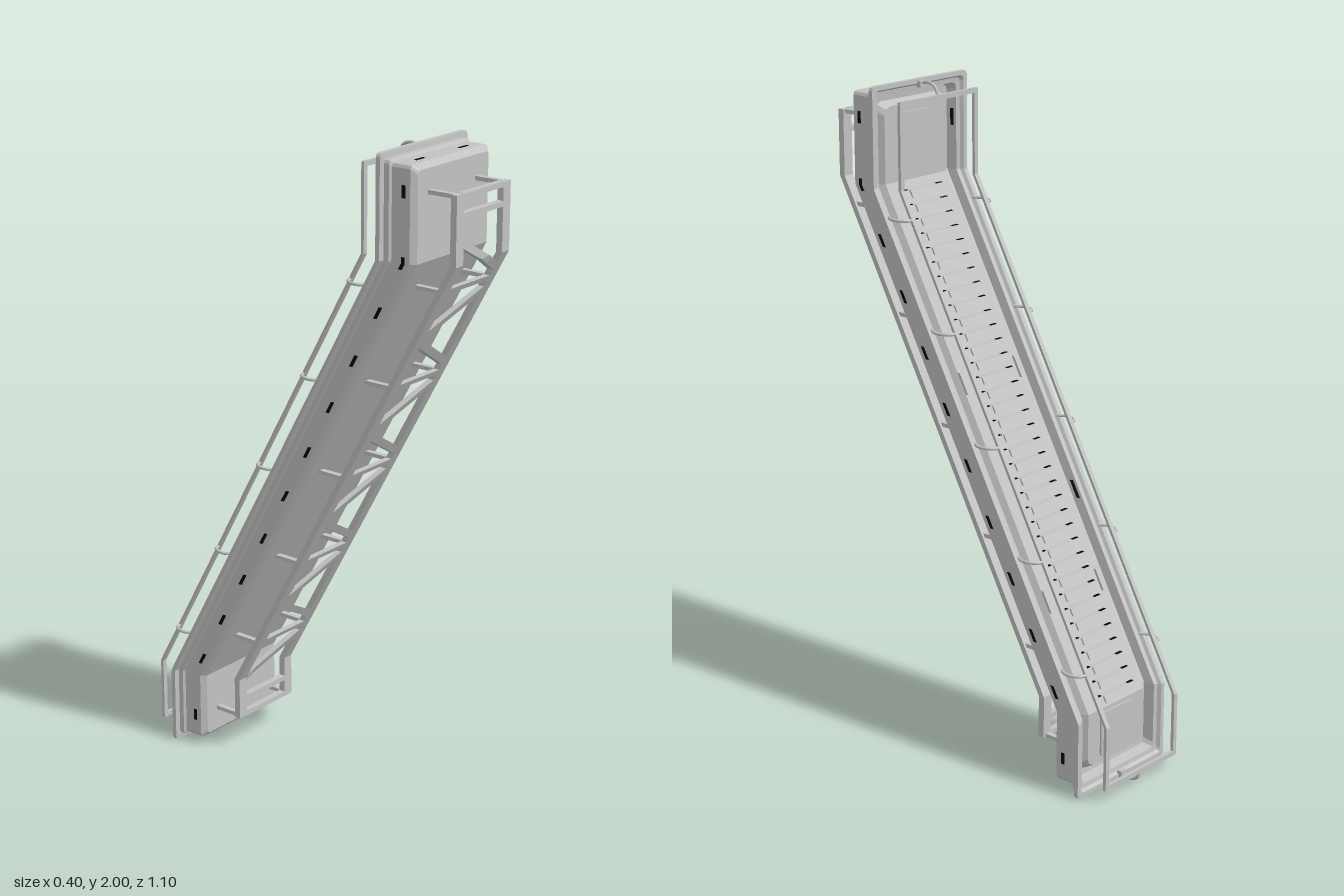
import * as THREE from 'three';

const BENDS = [0.24, 1.7];
// z of the bent spine at height y: upright, sloping, upright
const spine = (y) => THREE.MathUtils.clamp(((y - 0.97) / 0.73) * 0.4, -0.4, 0.4);

export function createModel() {
  const model = new THREE.Group();
  const grey = new THREE.MeshStandardMaterial({ color: 0xc2c2c2 });
  grey.name = 'grey metal';
  const black = new THREE.MeshStandardMaterial({ color: 0x080808 });
  black.name = 'black';

  const group = (name) => {
    const g = new THREE.Group();
    g.name = name;
    model.add(g);
    return g;
  };
  const addMesh = (parent, name, geometry, material = grey) => {
    const m = new THREE.Mesh(geometry, material);
    m.name = name;
    parent.add(m);
    return m;
  };

  // Box given by ranges in x, y and depth d, bent along the spine; tilt skews y by x
  const slab = (parent, name, [x0, x1], [y0, y1], [d0, d1], material = grey, tilt = 0) => {
    const cuts = [y0, ...BENDS.filter((b) => b > y0 && b < y1), y1];
    const n = cuts.length - 1;
    let geo = new THREE.BoxGeometry(x1 - x0, 1, d1 - d0, tilt ? 6 : 1, n, 1);
    const p = geo.attributes.position;
    for (let i = 0; i < p.count; i++) {
      const x = p.getX(i) + (x0 + x1) / 2;
      const y = cuts[Math.round((p.getY(i) + 0.5) * n)] + tilt * x;
      p.setXYZ(i, x, y, p.getZ(i) + (d0 + d1) / 2 + spine(y));
    }
    geo = geo.toNonIndexed();
    geo.computeVertexNormals();
    return addMesh(parent, name, geo, material);
  };

  // Smooth round tube through points given as x, y, depth
  const tube = (parent, name, points, radius) => {
    const pts = points.map(([x, y, d]) => new THREE.Vector3(x, y, d + spine(y)));
    addMesh(parent, name, new THREE.TubeGeometry(new THREE.CatmullRomCurve3(pts), 14, radius, 8));
  };

  // Trough shell: rings of half width, bottom, top, depth, corner radius
  const rings = [
    [0.162, 0.04, 1.96, 0.047, 0.012],
    [0.177, 0.026, 1.976, 0.032, 0.012],
    [0.177, 0.026, 1.976, -0.03, 0.012],
    [0.184, 0.018, 1.983, -0.035, 0.012],
    [0.184, 0.018, 1.983, -0.052, 0.012],
    [0.2, 0, 2, -0.054, 0.012],
    [0.2, 0, 2, -0.068, 0.012],
    [0.186, 0.014, 1.986, -0.068, 0.012],
    [0.18, 0.02, 1.98, -0.057, 0.012],
    [0.166, 0.034, 1.966, -0.055, 0.015],
    [0.16, 0.04, 1.96, -0.022, 0.02],
    [0.142, 0.058, 1.942, -0.02, 0.025],
    [0.129, 0.071, 1.929, -0.046, 0.025],
  ];
  const loops = rings.map(([w, lo, hi, d, r]) => {
    const right = [
      [w - r, lo], [w - r * 0.3, lo + r * 0.3], [w, lo + r],
      [w, BENDS[0]], [w, BENDS[1]],
      [w, hi - r], [w - r * 0.3, hi - r * 0.3], [w - r, hi],
    ];
    const left = right.map(([x, y]) => [-x, y]).reverse();
    return [...right, ...left].map(([x, y]) => [x, y, d + spine(y)]);
  });
  const verts = [];
  const quad = (a, b, c, d) => verts.push(...a, ...b, ...c, ...a, ...c, ...d);
  for (let k = 1; k < loops.length; k++) {
    const A = loops[k - 1], B = loops[k], n = A.length;
    for (let i = 0; i < n; i++) {
      const j = (i + 1) % n;
      quad(A[i], B[i], B[j], A[j]);
    }
  }
  const front = loops[0], floor = loops[loops.length - 1], last = front.length - 1;
  for (let i = 0; i < 7; i++) {
    quad(front[i], front[i + 1], front[last - i - 1], front[last - i]);
    quad(floor[last - i], floor[last - i - 1], floor[i + 1], floor[i]);
  }
  const shell = new THREE.BufferGeometry();
  shell.setAttribute('position', new THREE.Float32BufferAttribute(verts, 3));
  shell.computeVertexNormals();
  addMesh(model, 'trough', shell);

  // Steps with thin black grips at both ends
  const steps = group('steps');
  const COUNT = 36;
  for (let i = 0; i < COUNT; i++) {
    const y = 0.25 + (i * 1.4) / (COUNT - 1);
    slab(steps, 'step', [-0.088, 0.088], [y, y + 0.026], [-0.06, -0.042]);
    slab(steps, 'stepNose', [-0.058, 0.058], [y + 0.006, y + 0.026], [-0.066, -0.06]);
    for (const s of [-1, 1]) {
      slab(steps, 'stepGrip', [s * 0.074 - 0.013, s * 0.074 + 0.013],
        [y + 0.026, y + 0.027], [-0.059, -0.05], black);
    }
  }

  // Landing panels at both ends, with rounded corners
  const panelShape = new THREE.Shape();
  panelShape.moveTo(-0.05, -0.09).lineTo(0.05, -0.09).quadraticCurveTo(0.075, -0.09, 0.075, -0.065)
    .lineTo(0.075, 0.065).quadraticCurveTo(0.075, 0.09, 0.05, 0.09)
    .lineTo(-0.05, 0.09).quadraticCurveTo(-0.075, 0.09, -0.075, 0.065)
    .lineTo(-0.075, -0.065).quadraticCurveTo(-0.075, -0.09, -0.05, -0.09);
  for (const [y, h] of [[1.815, 1], [0.155, 0.8]]) {
    const panel = addMesh(model, 'landingPanel',
      new THREE.ExtrudeGeometry(panelShape, { depth: 0.008, bevelEnabled: false }));
    panel.scale.y = h;
    panel.position.set(0, y, spine(y) - 0.052);
  }

  // Slots in the sides, top and bottom, and brackets beside the steps
  const slots = group('slots');
  const brackets = group('brackets');
  const slotHeights = [1.9, 0.1];
  for (let i = 0; i < 10; i++) slotHeights.push(1.7 - i * 0.1553);
  for (const s of [-1, 1]) {
    for (const y of slotHeights) {
      slab(slots, 'sideSlot', [s * 0.177 - 0.001, s * 0.177 + 0.001],
        [y - 0.018, y + 0.018], [0.004, 0.016], black);
    }
    for (const y of [1.86, 0.79]) {
      slab(slots, 'innerSlot', [s * 0.1625 - 0.002, s * 0.1625 + 0.002],
        [y - 0.025, y + 0.025], [-0.046, -0.036], black);
    }
    for (const y of [0.026, 1.976]) {
      slab(slots, 'endSlot', [s * 0.1 - 0.02, s * 0.1 + 0.02], [y - 0.001, y + 0.001], [0, 0.009], black);
    }
    for (const y of [0.55, 1.15]) {
      slab(brackets, 'bracket', [s * 0.119 - 0.01, s * 0.119 + 0.01], [y - 0.03, y + 0.03], [-0.055, -0.04]);
    }
  }

  // Truss on the underside
  const truss = group('truss');
  const nodes = [1.62, 1.31, 1.0, 0.69, 0.383];
  const depth = [0.13, 0.15];
  for (const s of [-1, 1]) {
    const at = (half) => [s * 0.108 - half, s * 0.108 + half];
    slab(truss, 'trussRail', at(0.017), [0.108, 1.9], depth);
    for (const y of [1.894, 0.114, ...nodes]) {
      slab(truss, 'trussStrut', at(0.009), [y - 0.006, y + 0.006], [0.03, 0.14]);
    }
  }
  for (const y of [1.893, 1.838, 0.17, 0.115, ...nodes]) {
    slab(truss, 'trussCrossbar', [-0.093, 0.093], [y - 0.008, y + 0.008], depth);
  }
  for (const y of nodes) {
    for (const s of [-1, 1]) {
      const mid = y + s * 0.09;
      slab(truss, 'trussDiagonal', [-0.093, 0.093], [mid - 0.013, mid + 0.013], depth, grey, -s * 0.55);
    }
  }

  // Flat handrails on the stair side, held by curved struts
  const handrails = group('handrails');
  const R = -0.14, X = 0.158;
  for (const s of [-1, 1]) {
    slab(handrails, 'handrail', [s * X - 0.0075, s * X + 0.0075], [0.04, 1.96], [R - 0.005, R + 0.005]);
    for (const y of nodes) {
      tube(handrails, 'handrailStrut', [
        [s * X, y, R], [s * 0.178, y, R + 0.004], [s * 0.192, y, R + 0.025],
        [s * 0.194, y, R + 0.05], [s * 0.18, y, R + 0.077],
      ], 0.005);
    }
  }
  for (const [y, up] of [[1.953, 1], [0.047, -1]]) {
    slab(handrails, 'handrailEndBar', [-X, X], [y - 0.0075, y + 0.0075], [R - 0.005, R + 0.005]);
    tube(handrails, 'handrailArch', [
      [0, y, R], [0, y + up * 0.028, R + 0.012], [0, y + up * 0.039, R + 0.036],
      [0, y + up * 0.036, R + 0.06], [0, y + up * 0.03, R + 0.076],
    ], 0.005);
    slab(handrails, 'archClamp', [-0.013, 0.013],
      [y + up * 0.032 - 0.01, y + up * 0.032 + 0.01], [-0.08, -0.062]);
  }

  return model;
}
